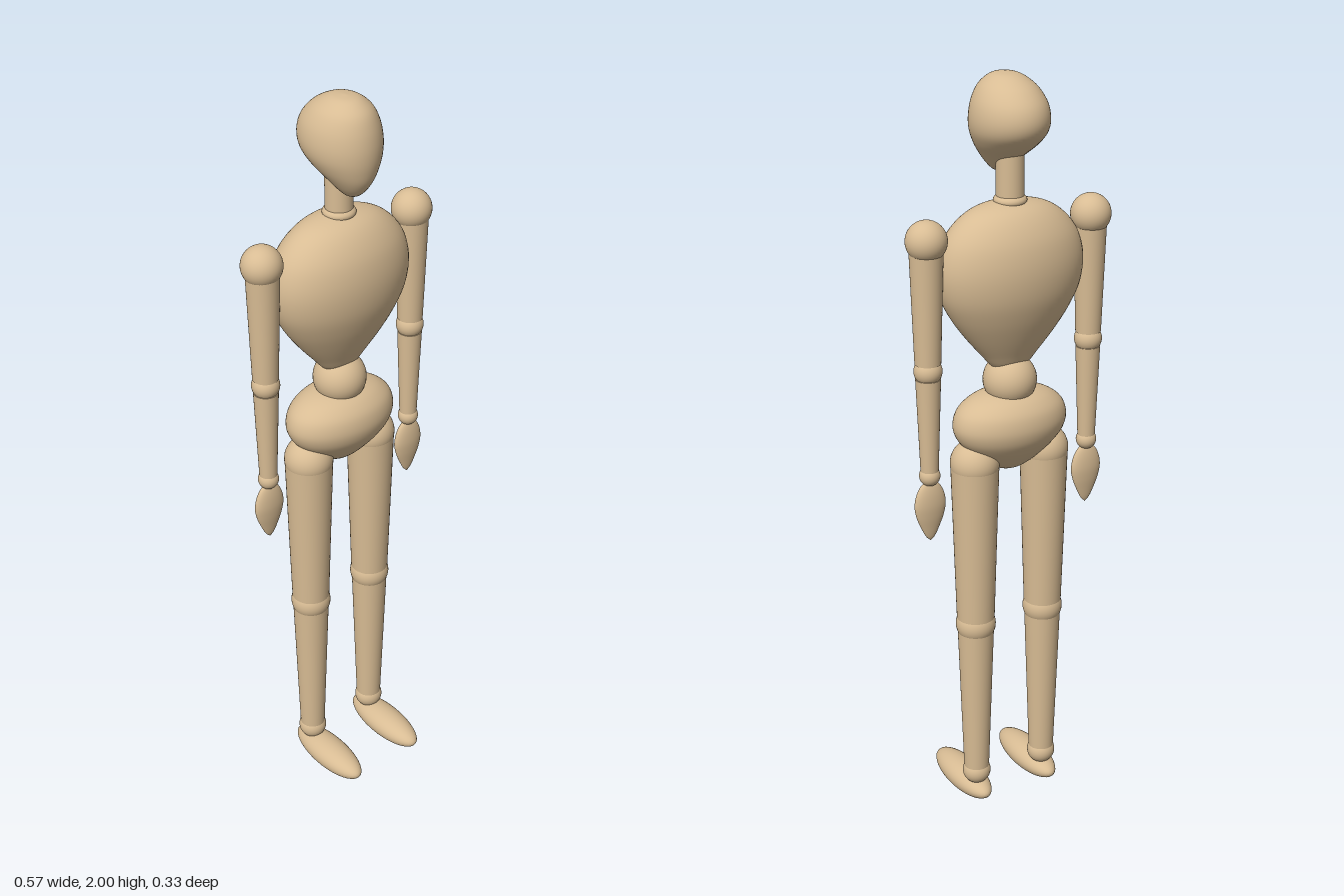
import * as THREE from 'three';
import { mergeVertices } from 'three/addons/utils/BufferGeometryUtils.js';

const AXIS = -0.042; // depth of the body's centre line

export function createModel() {
  const model = new THREE.Group();
  model.name = 'woodenMannequin';
  const wood = new THREE.MeshStandardMaterial({ color: 0xd8bc94 });
  wood.name = 'paleWood';

  function add(parent, name, geometry, x, y, z) {
    const mesh = new THREE.Mesh(geometry, wood);
    mesh.name = name;
    mesh.position.set(x, y, z);
    parent.add(mesh);
    return mesh;
  }

  const ball = (parent, name, r, x, y, z = AXIS) =>
    add(parent, name, new THREE.SphereGeometry(r, 40, 28), x, y, z);

  // tapered limb between two heights
  const limb = (parent, name, rTop, rBottom, yTop, yBottom, x) =>
    add(parent, name, new THREE.CylinderGeometry(rTop, rBottom, yTop - yBottom, 40), x, (yTop + yBottom) / 2, AXIS);

  // smooth turned shape from [half width, height, depth shift], listed bottom to top
  function turned(profile, depthRatio) {
    const curve = new THREE.CatmullRomCurve3(profile.map(([r, y, z = 0]) => new THREE.Vector3(r, y, z)));
    const pts = curve.getPoints(60);
    const lathe = new THREE.LatheGeometry(pts.map(p => new THREE.Vector2(Math.max(p.x, 0), p.y)), 56);
    const pos = lathe.attributes.position;
    for (let i = 0; i < pos.count; i++) pos.setZ(i, pos.getZ(i) * depthRatio + pts[i % pts.length].z);
    lathe.deleteAttribute('normal');
    lathe.deleteAttribute('uv');
    const geometry = mergeVertices(lathe, 1e-5);
    geometry.computeVertexNormals();
    return geometry;
  }

  // head: an egg leaning back towards the crown
  add(model, 'head', turned([
    [0, 1.751, 0.008], [0.017, 1.756, 0.007], [0.034, 1.772, 0.005], [0.055, 1.799, -0.003],
    [0.077, 1.831, -0.020], [0.091, 1.862, -0.033], [0.0945, 1.894, -0.038], [0.088, 1.931, -0.037],
    [0.071, 1.964, -0.030], [0.053, 1.982, -0.025], [0.031, 1.995, -0.021], [0, 2.0, -0.019],
  ], 1.2), 0, 0, 0);

  // neck and its collar ball
  limb(model, 'neck', 0.035, 0.035, 1.82, 1.68, 0);
  ball(model, 'neckBall', 0.042, 0, 1.69).scale.y = 0.5;

  // chest: broad at the shoulders, narrowing to the waist
  add(model, 'chest', turned([
    [0, 1.25], [0.045, 1.261], [0.082, 1.30], [0.127, 1.354], [0.164, 1.407], [0.190, 1.460],
    [0.200, 1.513], [0.196, 1.560], [0.179, 1.605], [0.146, 1.645], [0.106, 1.672], [0.055, 1.687], [0, 1.692],
  ], 0.605), 0, 0, AXIS);

  ball(model, 'waistBall', 0.069, 0, 1.222);

  add(model, 'pelvis', turned([
    [0, 0.979], [0.030, 0.983], [0.060, 0.998], [0.090, 1.020], [0.124, 1.050], [0.148, 1.080], [0.157, 1.112],
    [0.147, 1.148], [0.118, 1.175], [0.080, 1.191], [0.040, 1.197], [0, 1.199],
  ], 0.67), 0, 0, AXIS);

  // one flat teardrop shape serves both hands
  const handShape = turned([
    [0, 0.824], [0.012, 0.836], [0.027, 0.865], [0.039, 0.896], [0.044, 0.927],
    [0.037, 0.960], [0.021, 0.984], [0, 0.992],
  ], 0.4);

  for (const [side, s] of [['left', 1], ['right', -1]]) {
    // arm
    const arm = new THREE.Group();
    arm.name = side + 'Arm';
    const ax = s * 0.234;
    ball(arm, 'shoulderBall', 0.052, ax, 1.621, -0.044);
    limb(arm, 'upperArm', 0.043, 0.033, 1.62, 1.308, ax);
    ball(arm, 'elbowBall', 0.036, ax, 1.288);
    limb(arm, 'forearm', 0.032, 0.023, 1.268, 1.02, ax);
    ball(arm, 'wristBall', 0.027, ax, 1.006);
    add(arm, 'hand', handShape, ax, 0, AXIS);
    model.add(arm);

    // leg
    const leg = new THREE.Group();
    leg.name = side + 'Leg';
    const lx = s * 0.103;
    ball(leg, 'hipBall', 0.064, lx, 1.012);
    limb(leg, 'thigh', 0.063, 0.050, 1.01, 0.568, lx);
    ball(leg, 'kneeBall', 0.053, lx, 0.548);
    limb(leg, 'shin', 0.048, 0.034, 0.527, 0.108, lx);
    ball(leg, 'ankleBall', 0.038, lx, 0.092);
    ball(leg, 'foot', 1, lx, 0.038, 0.032).scale.set(0.048, 0.038, 0.132);
    model.add(leg);
  }
  return model;
}
